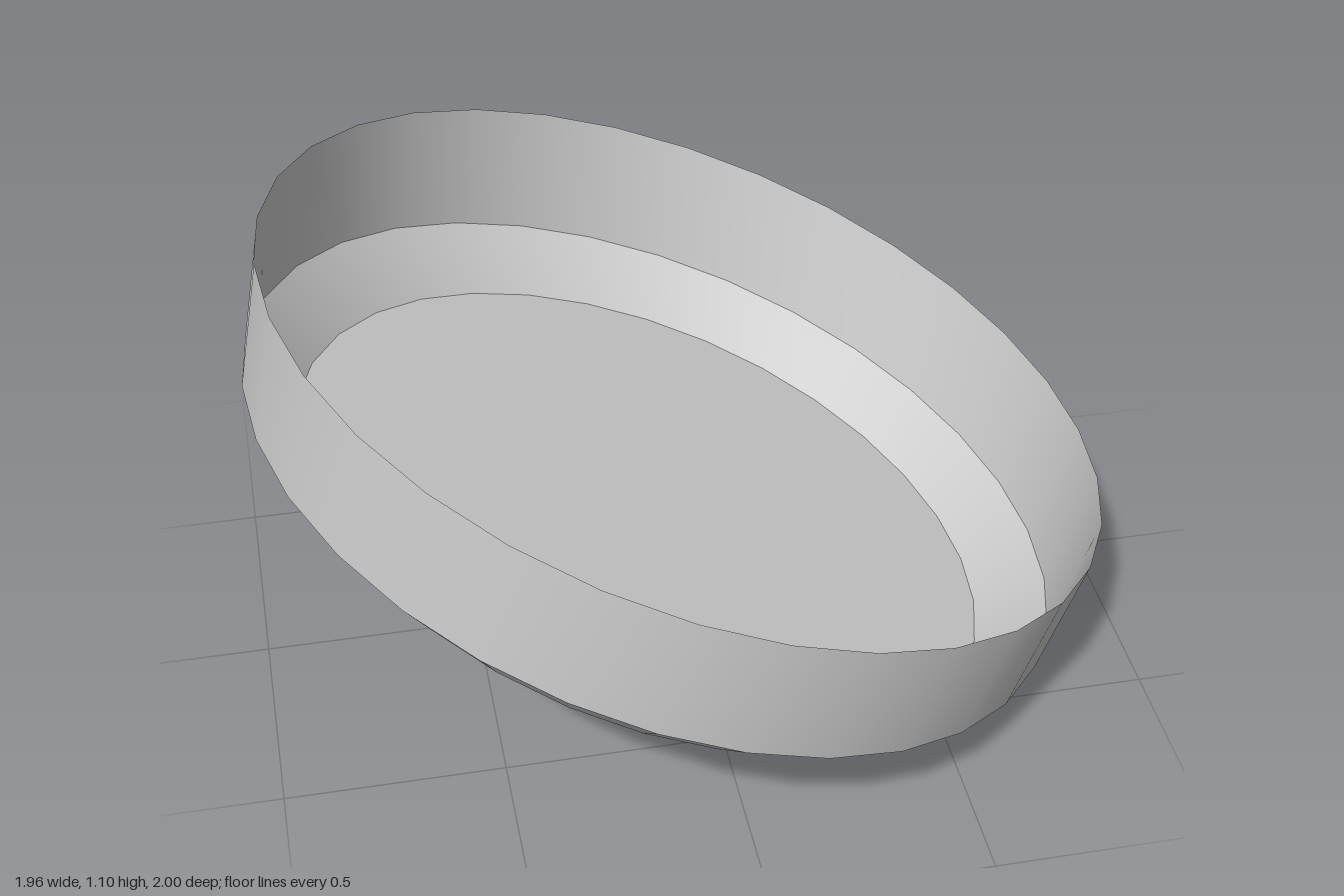
import * as THREE from 'three';

const SIDES = 32;

// Tilted elliptical rings: left end [x, y], right end [x, y], half width in z
const RIM = { left: [-0.925, 1.097], right: [0.98, 0.365], halfZ: 1.0 };
const SHOULDER = { left: [-0.983, 0.78], right: [0.877, 0.066], halfZ: 0.972 };
const FOOT = { left: [-0.88, 0.613], right: [0.71, 0], halfZ: 0.835 };

function ringPoints({ left, right, halfZ }) {
  const points = [];
  for (let i = 0; i < SIDES; i++) {
    const t = (i / SIDES) * Math.PI * 2;
    const k = (1 + Math.cos(t)) / 2;
    points.push(
      THREE.MathUtils.lerp(left[0], right[0], k),
      THREE.MathUtils.lerp(left[1], right[1], k),
      halfZ * Math.sin(t)
    );
  }
  return points;
}

function makeMesh(name, positions, index) {
  const geometry = new THREE.BufferGeometry();
  geometry.setAttribute('position', new THREE.Float32BufferAttribute(positions, 3));
  geometry.setIndex(index);
  geometry.computeVertexNormals();
  const material = new THREE.MeshStandardMaterial({ color: 0xcccccc, side: THREE.DoubleSide });
  const mesh = new THREE.Mesh(geometry, material);
  mesh.name = name;
  return mesh;
}

// Smooth band joining two rings
function band(name, lower, upper) {
  const index = [];
  for (let i = 0; i < SIDES; i++) {
    const j = (i + 1) % SIDES;
    index.push(i, SIDES + i, j, j, SIDES + i, SIDES + j);
  }
  return makeMesh(name, [...ringPoints(lower), ...ringPoints(upper)], index);
}

// Flat disc filling a ring
function disc(name, ring) {
  const index = [];
  for (let i = 1; i < SIDES - 1; i++) index.push(0, i, i + 1);
  return makeMesh(name, ringPoints(ring), index);
}

export function createModel() {
  const dish = new THREE.Group();
  dish.name = 'tiltedDish';
  dish.add(
    band('sideWall', SHOULDER, RIM),
    band('lowerBevel', FOOT, SHOULDER),
    disc('base', FOOT)
  );
  return dish;
}
